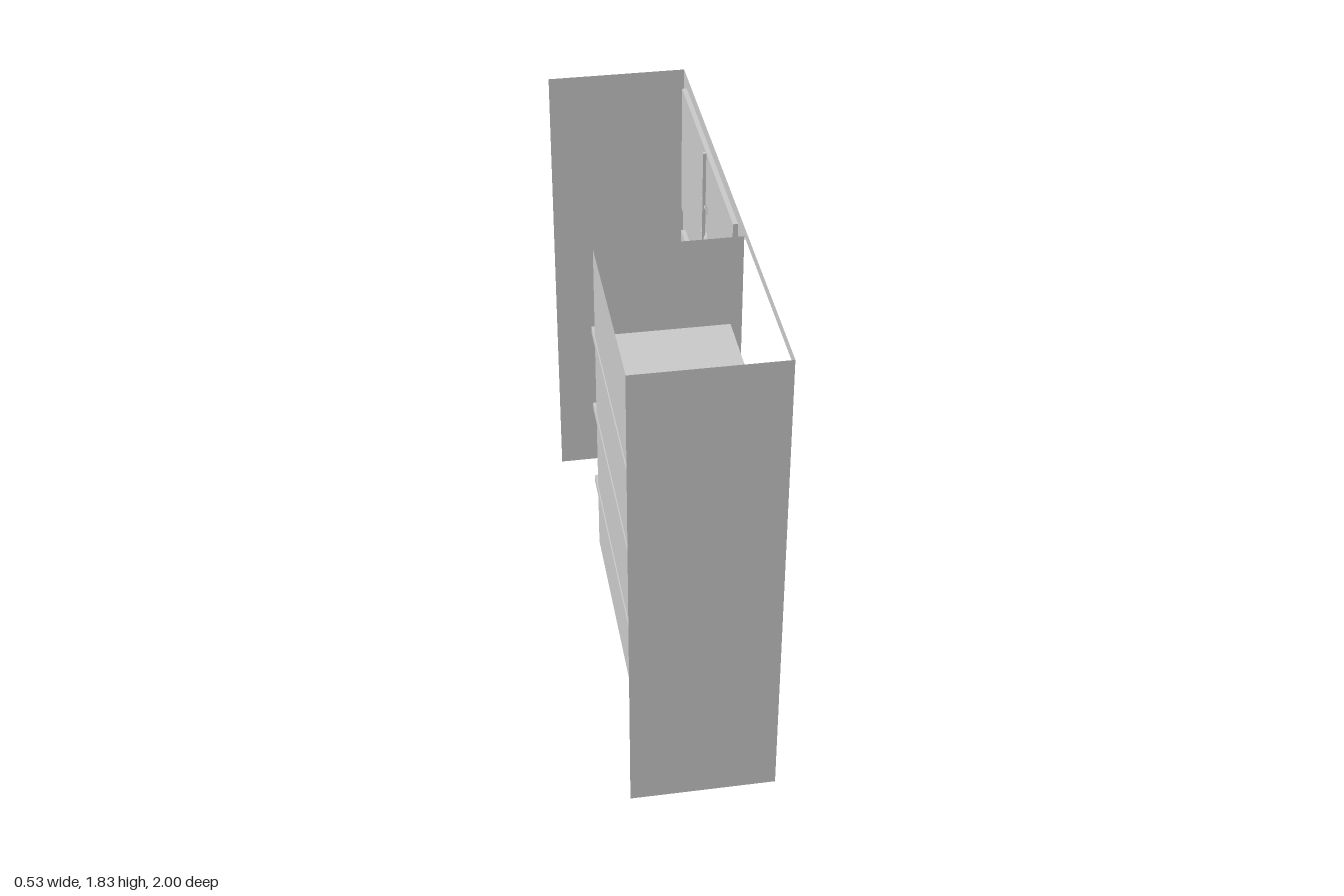
import * as THREE from 'three';

const FRONT = 0.259, BACK = -0.265, HEIGHT = 1.83, DOOR = 0.241;
const material = new THREE.MeshStandardMaterial({ color: 0xcccccc, side: THREE.DoubleSide });

// Openings in the face frame: z and y ranges
const niche = { z0: 0.2, z1: 0.96, y0: 0.53, y1: 1.795 };
const drawer = { z0: 0.195, z1: 0.965, y0: 0.037, y1: 0.457 };
const upper = { z0: -0.938, z1: 0.092, y0: 1.26, y1: 1.78 };
const lower = { z0: -0.94, z1: 0.097, y0: 0.052, y1: 1.152 };

function add(group, name, geometry) {
  const mesh = new THREE.Mesh(geometry, material);
  mesh.name = name;
  group.add(mesh);
  return mesh;
}

// Flat sheet facing +x, with rectangular holes
function sheet(r, x, holes = []) {
  const outline = (q) => [[-q.z1, q.y0], [-q.z0, q.y0], [-q.z0, q.y1], [-q.z1, q.y1]]
    .map(([u, v]) => new THREE.Vector2(u, v));
  const shape = new THREE.Shape(outline(r));
  for (const h of holes) shape.holes.push(new THREE.Path(outline(h).reverse()));
  return new THREE.ShapeGeometry(shape).rotateY(Math.PI / 2).translate(x, 0, 0);
}

// Thin-walled box with some sides left out (0 +x, 1 -x, 2 +y, 3 -y, 4 +z, 5 -z)
function openBox(r, x0, x1, missing) {
  const g = new THREE.BoxGeometry(x1 - x0, r.y1 - r.y0, r.z1 - r.z0);
  g.translate((x0 + x1) / 2, (r.y0 + r.y1) / 2, (r.z0 + r.z1) / 2);
  const index = Array.from(g.index.array).filter((_, i) => !missing.includes(Math.floor(i / 6)));
  g.setIndex(index);
  g.clearGroups();
  return g;
}

// Bowed pull with rounded ends, flattened towards the door
function handle(group, name, y, z, horizontal) {
  const half = 0.074, steps = 20, sides = 12;
  const profile = [];
  for (let i = 0; i <= steps; i++) {
    const t = -Math.cos((Math.PI * i) / steps);
    const r = Math.pow(Math.max(0, 1 - Math.pow(Math.abs(t), 5)), 0.5);
    profile.push(new THREE.Vector2(Math.max(r, 0.001), t * half));
  }
  const g = new THREE.LatheGeometry(profile, sides);
  g.scale(0.009, 1, 0.02);
  const p = g.attributes.position;
  for (let i = 0; i < p.count; i++) {
    const t = p.getY(i) / half;
    p.setX(i, p.getX(i) + 0.256 - 0.024 * t * t);
  }
  g.computeVertexNormals();
  if (horizontal) g.scale(1, 1.15, 1).rotateX(Math.PI / 2);
  add(group, name, g).position.set(0, y, z);
}

// Inset pair of doors with a narrow groove between them
function doorPair(group, name, r, handleY) {
  const pair = new THREE.Group();
  pair.name = name;
  const slit = { z0: -0.43, z1: -0.418, y0: r.y0 + 0.001, y1: r.y1 - 0.001 };
  add(pair, 'doorReveal', openBox(r, DOOR, FRONT, [0, 1]));
  add(pair, 'doorPanels', sheet(r, DOOR, [slit]));
  add(pair, 'doorGroove', openBox(slit, DOOR - 0.012, DOOR, [0]));
  handle(pair, 'leftDoorHandle', handleY, -0.39, false);
  handle(pair, 'rightDoorHandle', handleY, -0.453, false);
  group.add(pair);
}

export function createModel() {
  const cabinet = new THREE.Group();
  cabinet.name = 'cabinet';

  // Face frame and the two end panels
  const face = { z0: -1, z1: 1, y0: 0, y1: HEIGHT };
  add(cabinet, 'faceFrame', sheet(face, FRONT, [niche, drawer, upper, lower]));
  for (const s of [-1, 1]) {
    const panel = add(cabinet, s > 0 ? 'leftEndPanel' : 'rightEndPanel',
      new THREE.PlaneGeometry(FRONT - BACK, HEIGHT));
    panel.position.set((FRONT + BACK) / 2, HEIGHT / 2, s);
    if (s < 0) panel.rotation.y = Math.PI;
  }

  // Open-topped shelf niche; its shelves run through the walls
  add(cabinet, 'shelfNiche', openBox(niche, -0.257, FRONT, [0, 2]));
  for (const y of [0.782, 1.107, 1.432]) {
    add(cabinet, 'shelf', new THREE.BoxGeometry(0.48, 0.026, 0.835))
      .position.set(-0.021, y, 0.5575);
  }

  // Inset drawer front
  add(cabinet, 'drawerFront', openBox(drawer, DOOR, FRONT, [0]));
  handle(cabinet, 'drawerHandle', 0.23, 0.605, true);

  doorPair(cabinet, 'upperDoors', upper, 1.504);
  doorPair(cabinet, 'lowerDoors', lower, 0.493);
  return cabinet;
}
